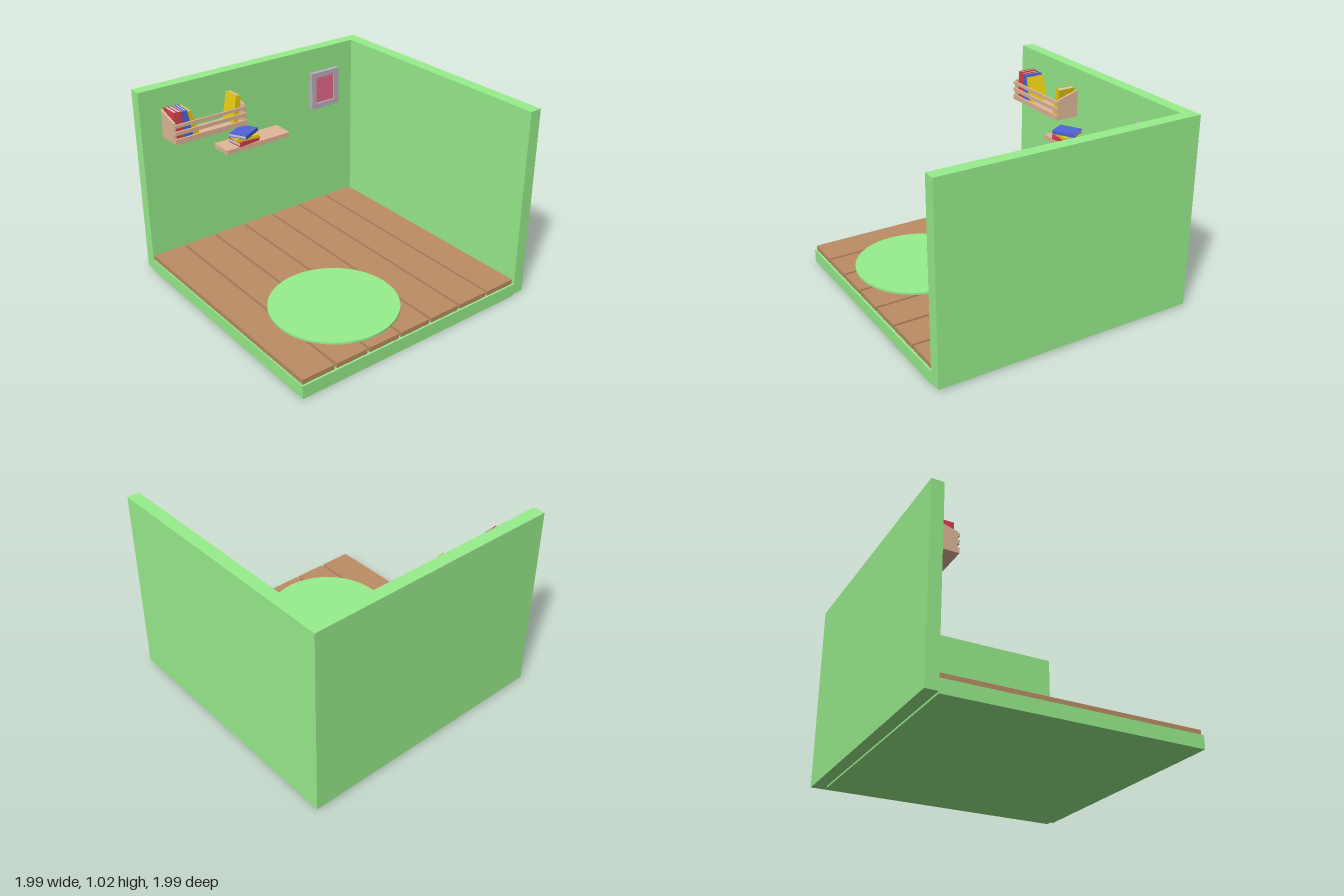
import * as THREE from 'three';

const mat = (color) => new THREE.MeshStandardMaterial({ color });
const GREEN = mat(0x98ee8c), FLOOR = mat(0xbb8d65), WOOD = mat(0xe0b898), FRAME = mat(0xbdb0be),
  PINK = mat(0xe56a8c), RED = mat(0xd84050), BLUE = mat(0x5064d8), YELLOW = mat(0xe8cc10), PAGES = mat(0xe0e0e0);

// Room axes: x runs along the right wall, z along the left wall, origin at the outer back corner.
const SIZE = 1.405, WALL = 0.065;

function add(parent, name, geometry, material) {
  const mesh = new THREE.Mesh(geometry, material);
  mesh.name = name;
  parent.add(mesh);
  return mesh;
}

// Box given by its minimum and maximum on each axis
function box(parent, name, material, x0, x1, y0, y1, z0, z1) {
  const mesh = add(parent, name, new THREE.BoxGeometry(x1 - x0, y1 - y0, z1 - z0), material);
  mesh.position.set((x0 + x1) / 2, (y0 + y1) / 2, (z0 + z1) / 2);
  return mesh;
}

// Centred book: thickness along z, height along y, spine towards +x
function book(parent, material, t, h, d) {
  const g = new THREE.Group(), c = 0.003;
  g.name = 'book';
  for (const s of [-1, 1]) {
    const z = s * (t / 2 - c / 2);
    box(g, 'cover', material, -d / 2, d / 2, -h / 2, h / 2, z - c / 2, z + c / 2);
  }
  box(g, 'spine', material, d / 2 - c, d / 2, -h / 2, h / 2, -t / 2 + c, t / 2 - c);
  box(g, 'pages', PAGES, -d / 2 + c, d / 2 - c, -h / 2 + c, h / 2 - c, -t / 2 + c, t / 2 - c);
  g.rotation.order = 'YXZ';
  parent.add(g);
  return g;
}

function standingBook(parent, material, z, lean, t, h, base) {
  const g = book(parent, material, t, h, 0.1);
  const c = Math.cos(lean), s = Math.sin(lean);
  g.position.set(0.125, base + h / 2 * c + t / 2 * Math.abs(s), z + h / 2 * s);
  g.rotation.x = lean;
}

function lyingBook(parent, material, y, t, yaw) {
  const g = book(parent, material, t, 0.13, 0.1);
  g.position.set(0.137, y + t / 2, 0.85);
  g.rotation.set(Math.PI / 2, yaw, 0);
}

export function createModel() {
  const model = new THREE.Group();
  model.name = 'roomCorner';
  const room = new THREE.Group();
  room.name = 'room';
  room.position.set(0.01, 0, -1);
  room.rotation.y = -0.801;
  model.add(room);

  // L-shaped pair of walls, slightly raised off the ground
  const plan = new THREE.Shape([[0, 0], [SIZE, 0], [SIZE, -WALL], [WALL, -WALL], [WALL, -SIZE], [0, -SIZE]]
    .map(([x, y]) => new THREE.Vector2(x, y)));
  const walls = add(room, 'walls', new THREE.ExtrudeGeometry(plan, { depth: 1.01, bevelEnabled: false }), GREEN);
  walls.rotation.x = -Math.PI / 2;
  walls.position.y = 0.01;

  // Floor slab and planks
  box(room, 'floorSlab', GREEN, WALL, SIZE, 0, 0.07, WALL, SIZE);
  const pitch = (SIZE - WALL) / 7;
  for (let i = 0; i < 7; i++) {
    const z = WALL + i * pitch;
    box(room, 'plank', FLOOR, WALL, SIZE - 0.01, 0.07, 0.096, z + 0.007, z + pitch - 0.007);
  }

  // Round rug
  const rug = add(model, 'rug', new THREE.CylinderGeometry(0.325, 0.325, 0.012, 64), GREEN);
  rug.position.set(0.05, 0.101, 0.38);

  // Plain wall shelf with a stack of books
  box(room, 'shelf', WOOD, WALL, 0.19, 0.612, 0.638, 0.59, 0.99);
  lyingBook(room, RED, 0.638, 0.024, 0.1);
  lyingBook(room, YELLOW, 0.662, 0.018, -0.12);
  lyingBook(room, BLUE, 0.68, 0.02, 0.5);

  // Book rack: sloped ends, bottom board and front rails
  const rack = new THREE.Group();
  rack.name = 'bookRack';
  room.add(rack);
  const z0 = 0.866, z1 = 1.288, front = 0.19, end = 0.012;
  const side = new THREE.Shape([[WALL, 0.757], [front, 0.757], [front, 0.868], [WALL, 0.905]]
    .map(([x, y]) => new THREE.Vector2(x, y)));
  for (const z of [z0, z1 - end]) {
    add(rack, 'rackEnd', new THREE.ExtrudeGeometry(side, { depth: end, bevelEnabled: false }), WOOD).position.z = z;
  }
  box(rack, 'rackBottom', WOOD, WALL, front, 0.757, 0.769, z0 + end, z1 - end);
  for (const [a, b] of [[0.757, 0.785], [0.805, 0.825], [0.845, 0.862]]) {
    box(rack, 'rackRail', WOOD, front, front + 0.01, a, b, z0, z1);
  }

  // Books in the rack: material, position, lean, thickness, height
  for (const [m, z, lean, t, h] of [
    [RED, 1.264, 0, 0.022, 0.15], [RED, 1.24, 0, 0.022, 0.147], [BLUE, 1.213, 0.06, 0.022, 0.145],
    [BLUE, 1.184, 0.17, 0.022, 0.145], [YELLOW, 1.15, 0.28, 0.024, 0.14], [YELLOW, 0.92, -0.16, 0.03, 0.15],
  ]) standingBook(rack, m, z, lean, t, h, 0.769);

  // Framed picture
  const picture = new THREE.Group();
  picture.name = 'picture';
  room.add(picture);
  const p0 = 0.175, p1 = 0.36, q0 = 0.677, q1 = 0.888, w = 0.03, depth = WALL + 0.025;
  box(picture, 'frameBottom', FRAME, WALL, depth, q0, q0 + w, p0, p1);
  box(picture, 'frameTop', FRAME, WALL, depth, q1 - w, q1, p0, p1);
  box(picture, 'frameSide', FRAME, WALL, depth, q0 + w, q1 - w, p0, p0 + w);
  box(picture, 'frameSide', FRAME, WALL, depth, q0 + w, q1 - w, p1 - w, p1);
  box(picture, 'pictureBack', FRAME, WALL, WALL + 0.006, q0 + w, q1 - w, p0 + w, p1 - w);
  box(picture, 'pictureSheet', PINK, WALL + 0.006, WALL + 0.014, q0 + w, q1 - w, p0 + w, p1 - w);

  return model;
}
